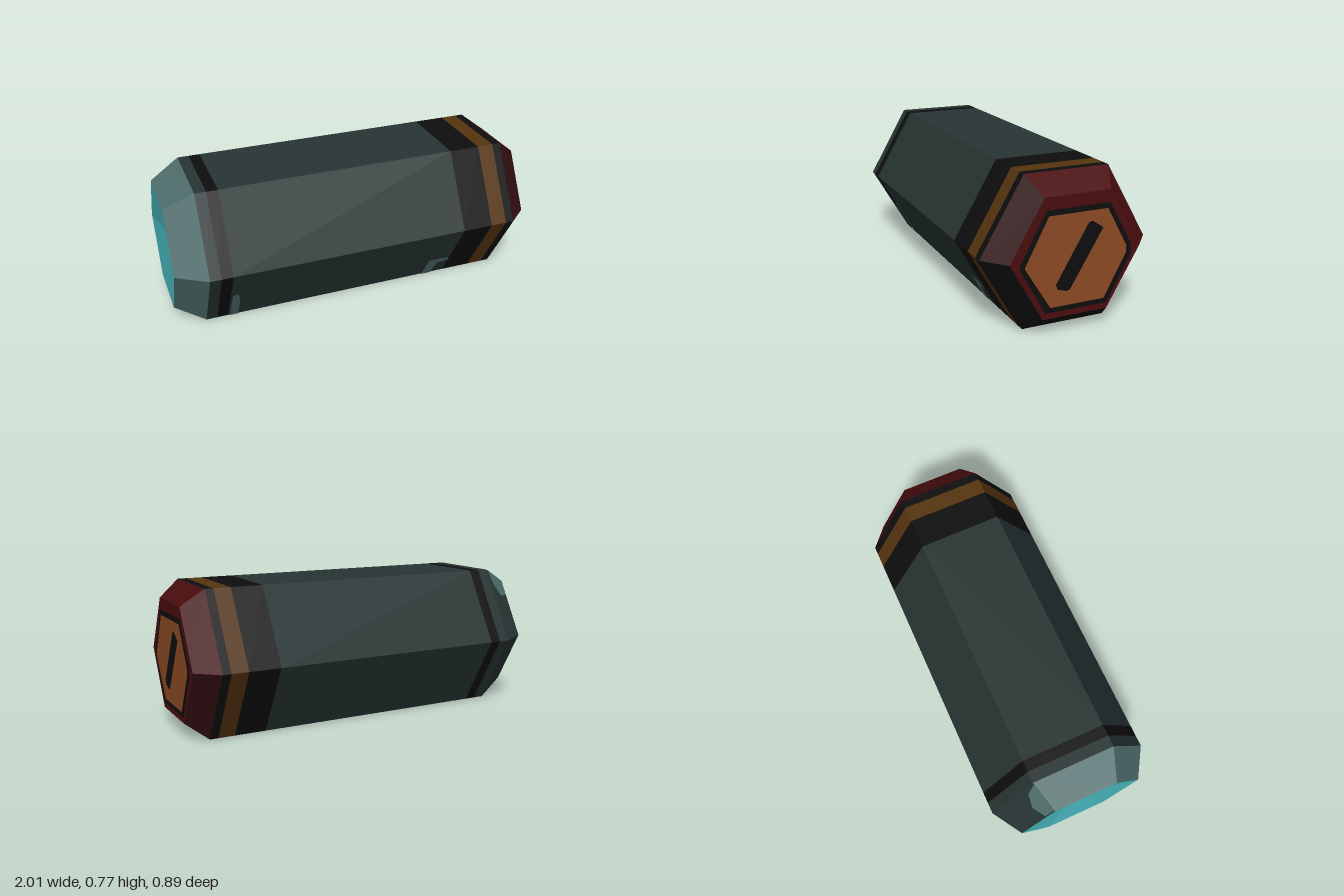
import * as THREE from 'three';

const CY = 0.385; // height of the long axis
const R = 0.445, END_R = 0.345;

// Corner i of a hexagonal cross-section; face i lies between corners i and i + 1:
// 0 front upper, 1 top, 2 back upper, 3 back lower, 4 bottom, 5 front lower
const corner = (x, r, i) => {
  const a = (i * Math.PI) / 3;
  return [x, CY + r * Math.sin(a), r * Math.cos(a)];
};
const ALL = [0, 1, 2, 3, 4, 5];

export function createModel() {
  const group = new THREE.Group();
  const mat = (name, color) => {
    const m = new THREE.MeshStandardMaterial({ color });
    m.name = name;
    return m;
  };
  const slate = mat('slate', 0x273433);
  const black = mat('black', 0x0e0e0e);
  const amber = mat('amber', 0x55340f);
  const steel = mat('pale steel', 0x4e6c6b);
  const red = mat('red', 0x4a0d0f);
  const darkRed = mat('dark red', 0x320e12);
  const orange = mat('orange', 0x8c4a25);
  const cyan = mat('cyan', 0x42a9af);

  const add = (name, geometry, material) => {
    const mesh = new THREE.Mesh(geometry, material);
    mesh.name = name;
    group.add(mesh);
    return mesh;
  };

  const facets = (triangles) => {
    const g = new THREE.BufferGeometry();
    g.setAttribute('position', new THREE.Float32BufferAttribute(triangles.flat(), 3));
    g.computeVertexNormals();
    return g;
  };

  // Hexagonal sleeve between two cross-sections, limited to the given faces
  const sleeve = (name, x0, r0, x1, r1, material, faces = ALL) => {
    const t = [];
    for (const i of faces) {
      const a = corner(x0, r0, i), b = corner(x0, r0, i + 1);
      const c = corner(x1, r1, i + 1), d = corner(x1, r1, i);
      t.push(a, d, c, a, c, b);
    }
    add(name, facets(t), material);
  };

  // Body and its painted bands, end to end
  const bands = [
    ['bodyRim', -0.84, -0.78, slate],
    ['narrowBand', -0.78, -0.72, black],
    ['body', -0.72, 0.58, slate],
    ['wideBand', 0.58, 0.75, black],
    ['amberBand', 0.75, 0.84, amber],
    ['outerBand', 0.84, 0.885, black],
  ];
  for (const [name, x0, x1, m] of bands) sleeve(name, x0, R, x1, R, m);

  // Bevelled ends
  sleeve('paleBevel', -1, END_R, -0.84, R, steel, [0, 1, 5]);
  sleeve('slateBevel', -1, END_R, -0.84, R, slate, [2, 3, 4]);
  sleeve('redBevel', 0.885, R, 1, END_R, red, [1, 2]);
  sleeve('darkRedBevel', 0.885, R, 1, END_R, darkRed, [0, 3]);
  sleeve('blackBevel', 0.885, R, 1, END_R, black, [4, 5]);

  // Glowing end, a shallow hollow
  const hollow = [];
  for (const i of ALL) {
    hollow.push(corner(-1, END_R, i), corner(-1, END_R, i + 1), [-0.93, CY, 0]);
  }
  add('hollowEnd', facets(hollow), cyan);

  // Flat plates on the red end; outline points are [-z, y]
  const plate = (name, x, points, material) => {
    const shape = new THREE.Shape(points.map(([u, v]) => new THREE.Vector2(u, v)));
    const mesh = add(name, new THREE.ShapeGeometry(shape), material);
    mesh.rotation.y = Math.PI / 2;
    mesh.position.x = x;
  };
  plate('endFace', 1, ALL.map((i) => {
    const [, y, z] = corner(0, END_R, i);
    return [-z, y];
  }).reverse(), red);
  plate('labelBorder', 1.002, [
    [-0.3, 0.365], [-0.16, 0.117], [0.17, 0.117], [0.295, 0.35],
    [0.295, 0.4], [0.17, 0.622], [-0.165, 0.622],
  ], black);
  plate('label', 1.004, [
    [-0.272, 0.36], [-0.135, 0.143], [0.152, 0.143], [0.268, 0.36],
    [0.268, 0.395], [0.158, 0.595], [-0.152, 0.595],
  ], orange);
  plate('slot', 1.006, [
    [-0.11, 0.255], [-0.1, 0.23], [-0.055, 0.216], [-0.035, 0.22],
    [0.135, 0.505], [0.075, 0.545], [0.055, 0.538],
  ], black);

  // Worn patches: outlines are [x, v] on one face, v running from corner i to i + 1
  const patch = (name, face, points, material, profile = () => R) => {
    const shape = new THREE.Shape(points.map(([x, v]) => new THREE.Vector2(x, v)));
    const g = new THREE.ShapeGeometry(shape);
    const p = g.attributes.position;
    for (let k = 0; k < p.count; k++) {
      const x = p.getX(k), v = p.getY(k), r = profile(x) + 0.003;
      const a = corner(x, r, face), b = corner(x, r, face + 1);
      p.setXYZ(k, x, a[1] + (b[1] - a[1]) * v, a[2] + (b[2] - a[2]) * v);
    }
    g.computeVertexNormals();
    const m = add(name, g, material);
    // outlines run counter-clockwise in [x, v], which faces outward
    return m;
  };
  const bevelRadius = (x) => END_R + ((x + 1) / 0.16) * (R - END_R);
  patch('wornPatchLeft', 5, [
    [-0.71, 0], [-0.665, 0], [-0.665, 0.38], [-0.68, 0.54], [-0.71, 0.52],
  ].map(([x, v]) => [x, v]), steel);
  patch('wornPatchRight', 5, [
    [0.44, 0], [0.5, 0], [0.51, 0.25], [0.58, 0.28], [0.57, 0.35], [0.45, 0.36],
  ], steel);
  patch('wornPatchBevel', 2, [
    [-0.995, 0], [-0.85, 0], [-0.87, 0.2], [-0.93, 0.33], [-0.995, 0.25],
  ], steel, bevelRadius);

  return group;
}
